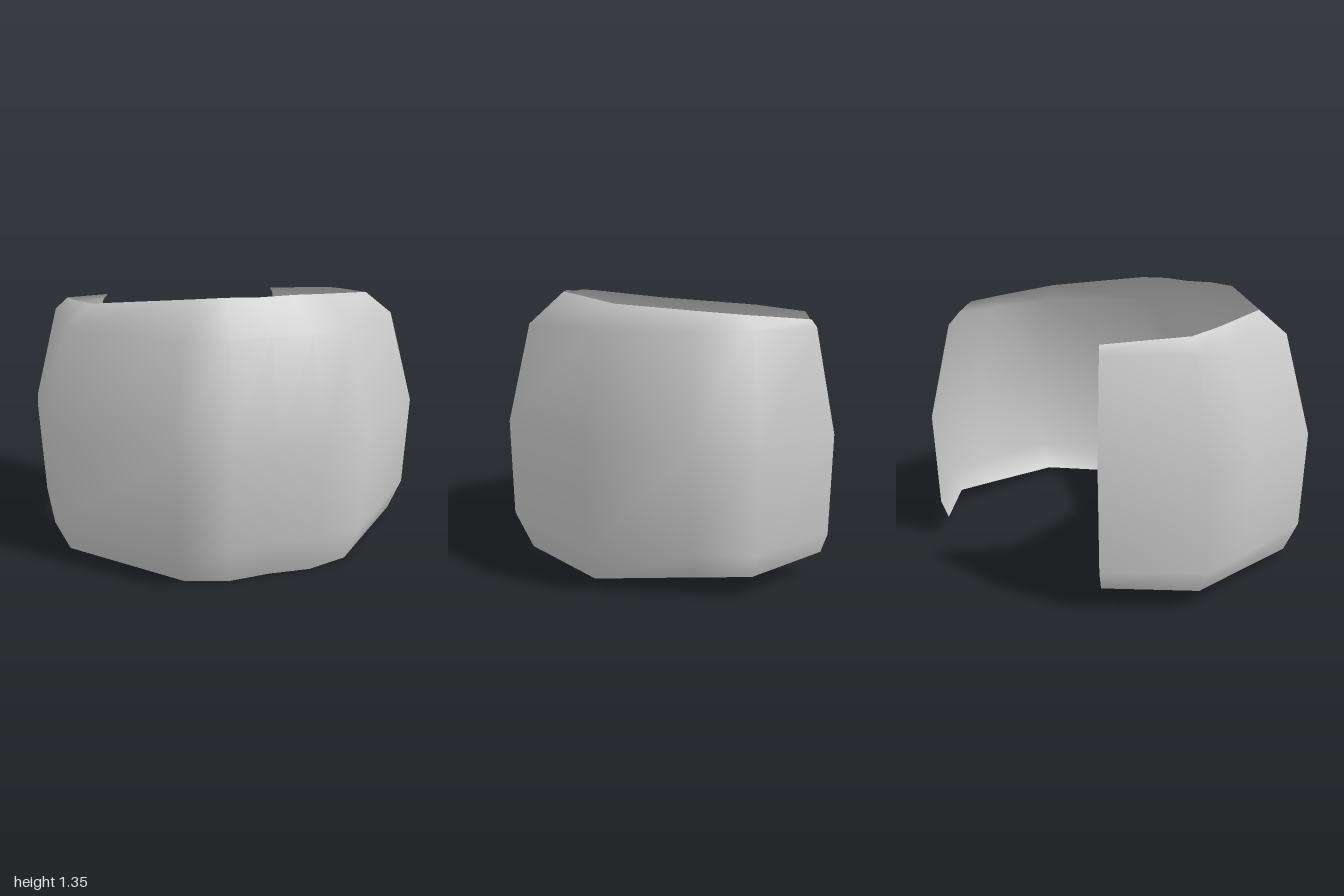
import * as THREE from 'three';

// Half rings as [x, y, z], from the open back end round to the front centre
const RINGS = [
  // lower rim
  [[0.59, 0.11, -0.79], [0.91, 0.09, -0.475], [0.91, 0.075, -0.22], [0.91, 0.045, 0.24], [0.42, 0.01, 0.69], [0.21, 0, 0.735], [0, 0.005, 0.73]],
  // lower bulge
  [[0.61, 0.205, -0.82], [0.965, 0.205, -0.495], [0.98, 0.205, -0.22], [0.98, 0.205, 0.255], [0.46, 0.205, 0.77], [0.225, 0.205, 0.815], [0, 0.205, 0.81]],
  // widest ring
  [[0.62, 0.69, -0.835], [0.98, 0.69, -0.5], [1, 0.69, -0.22], [1, 0.69, 0.26], [0.47, 0.69, 0.78], [0.23, 0.69, 0.83], [0, 0.69, 0.82]],
  // shoulder
  [[0.545, 1.18, -0.745], [0.855, 1.18, -0.46], [0.87, 1.18, -0.22], [0.87, 1.18, 0.22], [0.41, 1.18, 0.68], [0.2, 1.18, 0.72], [0, 1.18, 0.715]],
  // upper rim
  [[0.52, 1.215, -0.72], [0.79, 1.245, -0.42], [0.785, 1.26, -0.22], [0.74, 1.29, 0.17], [0.33, 1.34, 0.52], [0.165, 1.345, 0.55], [0, 1.34, 0.545]],
];

export function createModel() {
  const group = new THREE.Group();
  group.name = 'openBand';

  // Mirror every half ring across x = 0, then skin neighbouring rings
  const rings = RINGS.map((half) => [
    ...half,
    ...half.slice(0, -1).reverse().map(([x, y, z]) => [-x, y, z]),
  ]);
  const n = rings[0].length;
  const index = [];
  for (let r = 0; r < rings.length - 1; r++) {
    for (let c = 0; c < n - 1; c++) {
      const a = r * n + c, b = a + 1, d = a + n, e = d + 1;
      index.push(a, d, b, b, d, e);
    }
  }
  const geometry = new THREE.BufferGeometry();
  geometry.setAttribute('position', new THREE.Float32BufferAttribute(rings.flat(2), 3));
  geometry.setIndex(index);
  geometry.computeVertexNormals();

  // Thin shell, seen from inside and outside
  const shell = new THREE.Mesh(
    geometry,
    new THREE.MeshStandardMaterial({ color: 0xcccccc, side: THREE.DoubleSide }),
  );
  shell.name = 'curvedShell';
  group.add(shell);
  return group;
}
